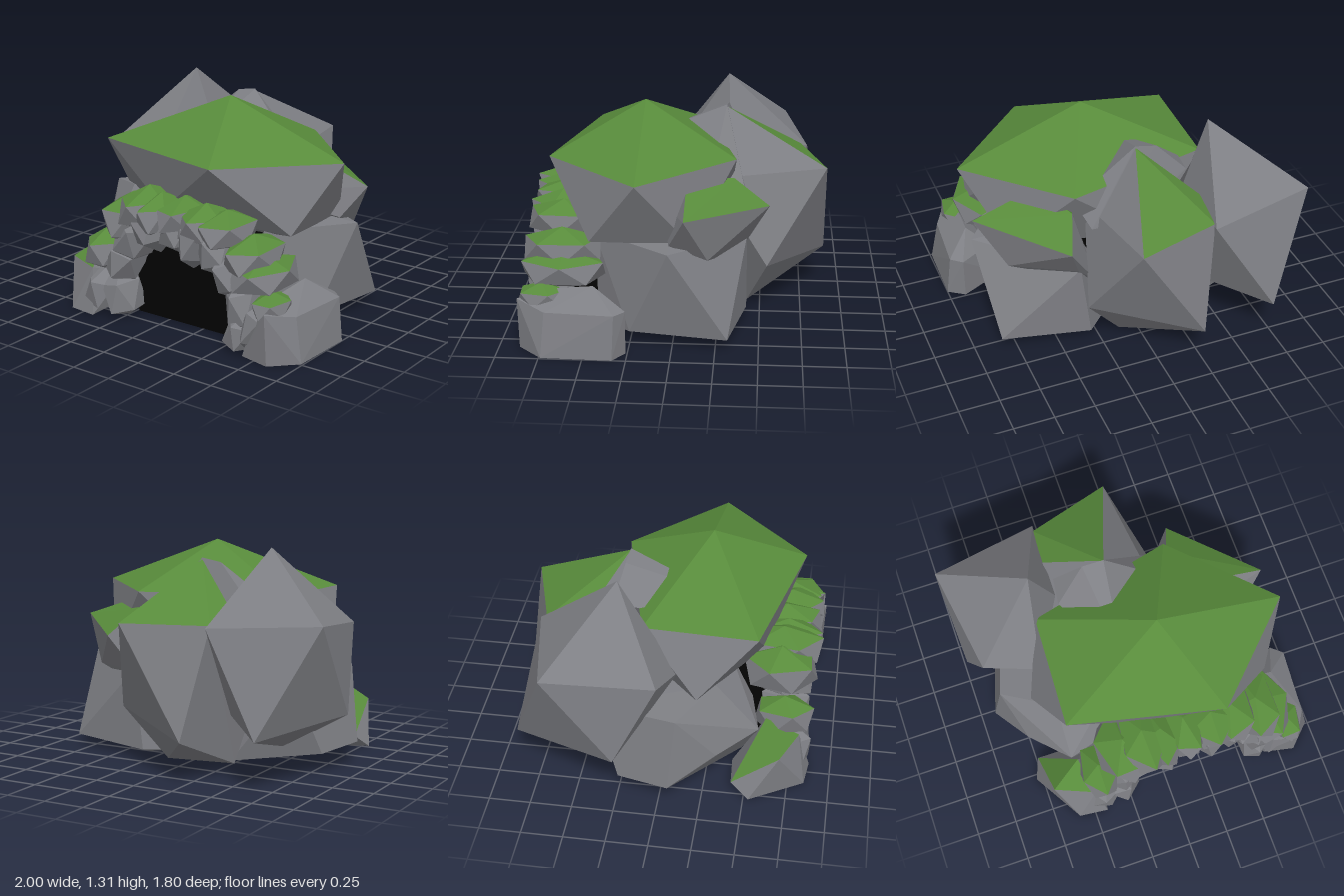
import * as THREE from 'three';
import { ConvexGeometry } from 'three/addons/geometries/ConvexGeometry.js';

const stone = new THREE.MeshStandardMaterial({ color: 0x7e7f84 });
stone.name = 'grey stone';
const moss = new THREE.MeshStandardMaterial({ color: 0x588b3b });
moss.name = 'green moss';
const dark = new THREE.MeshStandardMaterial({ color: 0x030303 });
dark.name = 'black hollow';

// Faceted rock around corner points; faces steeper up than mossFrom turn green
function rock(name, corners, mossFrom = 2) {
  const geo = new ConvexGeometry(corners.map((c) => new THREE.Vector3(...c)));
  const normal = geo.attributes.normal;
  for (let i = 0; i < normal.count; i += 3) {
    geo.addGroup(i, 3, normal.getY(i) > mossFrom ? 1 : 0);
  }
  const mesh = new THREE.Mesh(geo, [stone, moss]);
  mesh.name = name;
  return mesh;
}

// Twenty-sided stone standing on a corner: centre, radii, turn and tilt
function boulder(name, [x, y, z, rx, ry, rz, turn = 0, tilt = 0], mossFrom) {
  const pts = [[0, 1, 0], [0, -1, 0]];
  for (let i = 0; i < 10; i++) {
    const a = (i * Math.PI) / 5 + turn;
    pts.push([0.894 * Math.cos(a), i % 2 ? -0.447 : 0.447, 0.894 * Math.sin(a)]);
  }
  const c = Math.cos(tilt), s = Math.sin(tilt);
  return rock(name, pts.map(([px, py, pz]) => {
    const u = px * rx, v = py * ry;
    return [x + u * c - v * s, Math.max(0, y + u * s + v * c), z + pz * rz];
  }), mossFrom);
}

export function createModel() {
  const model = new THREE.Group();
  model.name = 'mossyCave';

  // Wide roof slab
  const roof = [[0.12, 1.3, 0.2]];
  for (let i = 0; i < 5; i++) {
    const a = (i * Math.PI * 2) / 5;
    roof.push([0.12 + 0.79 * Math.cos(a), 1.01, 0.2 + 0.58 * Math.sin(a)]);
  }
  roof[3][0] = -0.55;
  roof.push([0.74, 0.62, 0.48], [-0.12, 0.64, 0.55], [-0.68, 0.64, 0.2],
    [-0.12, 0.6, -0.3], [0.7, 0.6, -0.1], [0.12, 0.48, 0.2]);
  model.add(rock('roofRock', roof, 0.6));

  // Big rocks behind and beside the roof
  model.add(rock('backRightRock', [
    [-0.5, 1.31, -0.28], [-1, 0.93, -0.65], [-0.34, 0.89, -0.78], [-0.9, 0.87, 0],
    [-0.35, 0.9, -0.29], [-0.57, 0.75, 0.08], [-0.7, 0.3, -0.88], [-0.98, 0.37, -0.25],
    [-0.35, 0.35, -0.5], [-0.6, 0.15, -0.3],
  ]));
  model.add(rock('backRock', [
    [-0.04, 1.22, -0.28], [0.16, 0.9, -0.89], [-0.35, 0.9, -0.74], [-0.36, 0.95, -0.5],
    [-0.24, 0.25, -0.9], [0.36, 0.34, -0.54], [0.25, 0.85, -0.2],
    [-0.4, 0.5, -0.2], [0.12, 0.02, -0.42], [-0.35, 0.05, -0.45],
  ], 0.75));
  // Bare shoulder between the back rock and the roof
  model.add(rock('shoulderRock', [
    [-0.04, 1.23, -0.28], [-0.17, 1.21, -0.29], [-0.1, 1.0, 0.25], [0.32, 0.88, -0.2],
    [0.28, 0.8, -0.4], [-0.36, 1.03, -0.18], [-0.34, 1.04, -0.34], [0, 0.8, -0.4],
  ]));
  model.add(rock('leftUpperRock', [
    [0.5, 0.95, -0.07], [0.38, 0.9, -0.34], [0.91, 0.81, -0.07], [0.46, 0.76, -0.55],
    [0.78, 0.62, 0.02], [0.74, 0.52, -0.2], [0.38, 0.54, -0.43],
    [0.25, 0.7, 0.1], [0.25, 0.4, -0.38],
  ], 0.6));
  model.add(rock('leftLowerRock', [
    [0.9, 0.61, 0.02], [0.55, 0.61, 0.47], [0.36, 0.54, -0.42], [0.3, 0.62, 0],
    [0.84, 0.07, -0.32], [0.77, 0.08, 0.25], [0.3, 0.05, -0.42], [0.35, 0, -0.25],
    [0.55, 0.05, 0.45], [0, 0.02, -0.1],
  ]));
  model.add(rock('rightLowerRock', [
    [-0.85, 0.6, 0.1], [-0.91, 0.14, 0.06], [-0.55, 0.66, 0.3], [-0.76, 0.3, 0.33],
    [-0.25, 0.68, 0.35], [-0.55, 0.35, 0.56], [-0.3, 0.4, 0.5], [-0.7, 0.55, -0.4],
    [-0.82, 0.12, -0.25], [-0.3, 0.05, -0.4], [-0.35, 0.02, 0.45], [0, 0.03, -0.1],
  ]));

  // Rocks at the two feet of the arch
  model.add(rock('archFootLeft', [
    [0.82, 0.38, 0.45], [0.8, 0.35, 0.72], [0.97, 0.26, 0.32], [1, 0, 0.33], [0.99, 0, 0.74],
    [0.94, 0.26, 0.72], [0.84, 0.3, 0.89], [0.85, 0, 0.88], [0.66, 0, 0.84],
    [0.62, 0, 0.4], [0.72, 0.22, 0.82], [0.68, 0.25, 0.4], [0.9, 0.26, 0.26], [0.9, 0, 0.26],
  ]));
  model.add(rock('archFootRight', [
    [-0.52, 0.42, 0.6], [-0.71, 0.27, 0.7], [-0.47, 0.27, 0.8], [-0.79, 0, 0.53],
    [-0.6, 0, 0.85], [-0.42, 0, 0.87], [-0.4, 0.2, 0.55], [-0.74, 0.08, 0.42], [-0.45, 0, 0.4],
  ], 0.6));

  // Mossy stones piled along the arch
  const archStones = [
    [-0.42, 0.38, 0.7, 0.13, 0.14, 0.2, 0.3], [-0.25, 0.6, 0.66, 0.19, 0.16, 0.25, 0.9],
    [-0.13, 0.68, 0.66, 0.16, 0.14, 0.27, 0.2], [-0.02, 0.66, 0.68, 0.12, 0.14, 0.24, 0.5],
    [0.13, 0.68, 0.66, 0.13, 0.12, 0.25, 1.1], [0.3, 0.66, 0.68, 0.17, 0.13, 0.22, 0.3],
    [0.43, 0.65, 0.66, 0.17, 0.12, 0.24, 0.7], [0.61, 0.53, 0.65, 0.16, 0.13, 0.26, 0.6],
    [0.67, 0.43, 0.64, 0.19, 0.12, 0.28, 0], [0.8, 0.3, 0.75, 0.11, 0.09, 0.16, 0.9],
  ];
  const arch = new THREE.Group();
  arch.name = 'archStones';
  archStones.forEach((s, i) => arch.add(boulder(`archStone${i + 1}`, s, 0.5)));

  // Bare stones lining the opening
  const liningStones = [
    [-0.42, 0.13, 0.74, 0.13, 0.17, 0.15, 0.5, -0.2], [-0.29, 0.12, 0.72, 0.12, 0.19, 0.16, 1, 0.2],
    [-0.28, 0.34, 0.7, 0.12, 0.17, 0.17, 0.7, -0.4], [-0.2, 0.5, 0.7, 0.13, 0.18, 0.18, 0.1, -0.3],
    [-0.04, 0.59, 0.73, 0.13, 0.15, 0.17, 0.8, 0.3], [0.13, 0.6, 0.7, 0.12, 0.14, 0.18, 0.4, 0],
    [0.27, 0.57, 0.72, 0.11, 0.18, 0.17, 0.9, -0.2], [0.41, 0.54, 0.71, 0.12, 0.16, 0.17, 0.2, 0.3],
    [0.52, 0.42, 0.71, 0.12, 0.16, 0.17, 0.6, 0.4], [0.6, 0.25, 0.72, 0.11, 0.19, 0.16, 0.3, 0.2],
    [0.6, 0.1, 0.75, 0.1, 0.15, 0.14, 0.5, -0.3], [0.71, 0.17, 0.76, 0.09, 0.19, 0.13, 1, -0.4],
  ];
  liningStones.forEach((s, i) => arch.add(boulder(`liningStone${i + 1}`, s)));
  model.add(arch);

  // Dark hollow behind the opening
  const mouth = new THREE.Shape([
    [-0.24, 0], [-0.24, 0.25], [-0.13, 0.42], [0.1, 0.5], [0.32, 0.48], [0.47, 0.32], [0.54, 0],
  ].map((p) => new THREE.Vector2(...p)));
  const hollowGeo = new THREE.ExtrudeGeometry(mouth, { depth: 0.55, bevelEnabled: false });
  hollowGeo.translate(0, 0, 0.1);
  const hollow = new THREE.Mesh(hollowGeo, dark);
  hollow.name = 'caveHollow';
  model.add(hollow);

  return model;
}
